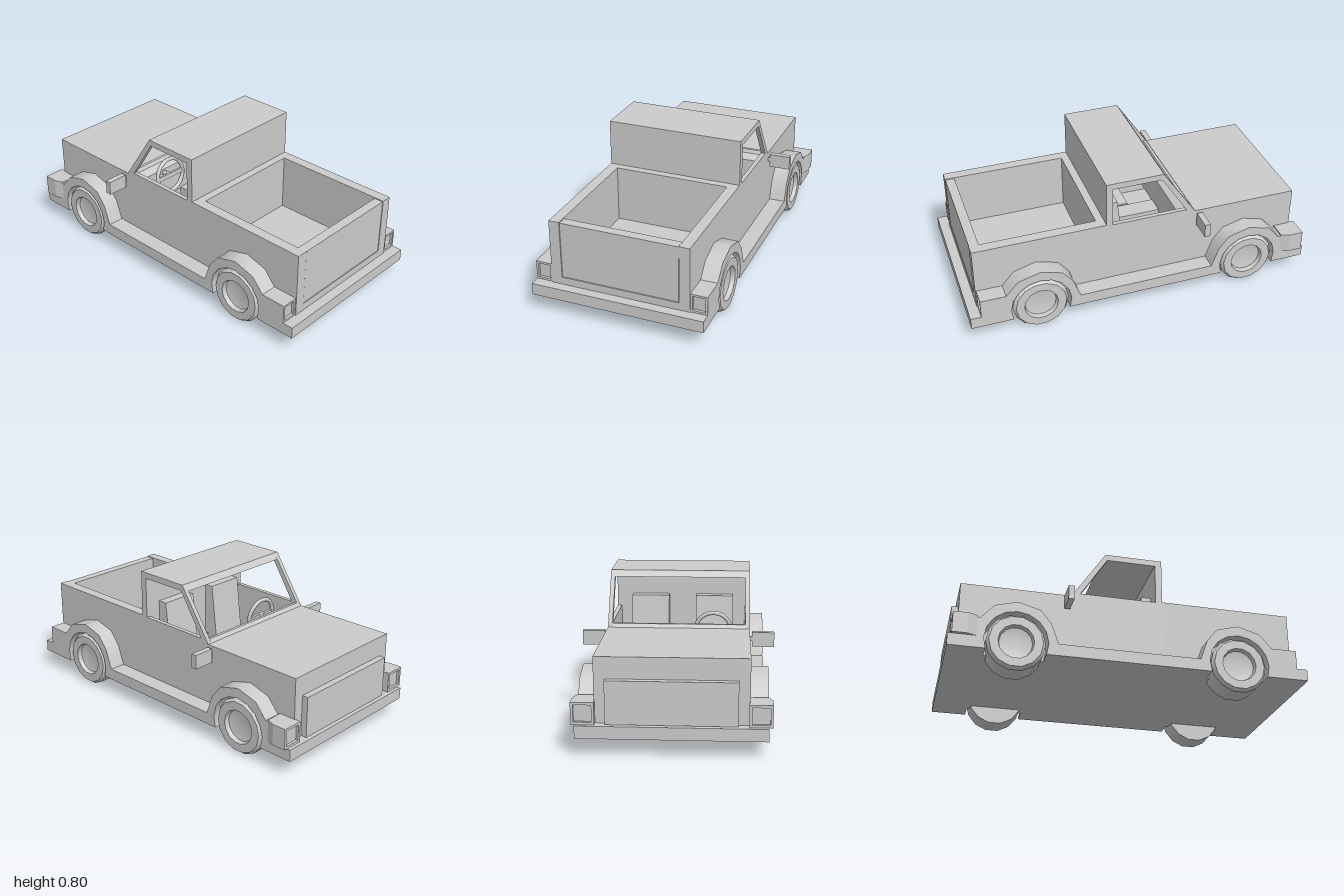
import * as THREE from 'three';
import { toCreasedNormals } from 'three/addons/utils/BufferGeometryUtils.js';

const grey = new THREE.MeshStandardMaterial({ color: 0xcccccc });
const outline = (pts, Type = THREE.Shape) => new Type(pts.map(([a, b]) => new THREE.Vector2(a, b)));

export function createModel() {
  const model = new THREE.Group();

  const add = (name, geometry, parent = model) => {
    const mesh = new THREE.Mesh(geometry, grey);
    mesh.name = name;
    parent.add(mesh);
    return mesh;
  };
  // Box given by its limits on each axis
  const box = (name, x0, x1, y0, y1, z0, z1, parent) =>
    add(name, new THREE.BoxGeometry(x1 - x0, y1 - y0, z1 - z0)
      .translate((x0 + x1) / 2, (y0 + y1) / 2, (z0 + z1) / 2), parent);
  // Side outline in (z, y), extruded from x0 to x1
  const sideExtrude = (name, pts, x0, x1, hole) => {
    const shape = outline(pts);
    if (hole) shape.holes.push(outline(hole, THREE.Path));
    const geo = new THREE.ExtrudeGeometry(shape, { depth: x1 - x0, bevelEnabled: false });
    geo.rotateY(-Math.PI / 2).translate(x1, 0, 0);
    return add(name, toCreasedNormals(geo, 0.75));
  };
  // Rectangular frame facing z
  const frame = (name, x0, x1, y0, y1, z0, z1, t) => {
    const rect = (d) => [[x0 + d, y0 + d], [x1 - d, y0 + d], [x1 - d, y1 - d], [x0 + d, y1 - d]];
    const shape = outline(rect(0));
    shape.holes.push(outline(rect(t), THREE.Path));
    add(name, new THREE.ExtrudeGeometry(shape, { depth: z1 - z0, bevelEnabled: false }).translate(0, 0, z0));
  };

  const W = 0.395;
  const axles = [0.6, -0.64];

  // Chassis, hood and grille
  box('chassis', -W, W, 0.1, 0.167, -1, 1);
  box('hood', -W, W, 0.167, 0.515, -0.945, -0.335);
  box('grille', -0.337, 0.337, 0.17, 0.4, -0.98, -0.945);

  // Cargo bed
  box('bedFloor', -0.335, 0.335, 0.167, 0.21, 0.19, 0.945);
  box('bedFrontWall', -0.335, 0.335, 0.21, 0.54, 0.19, 0.235);
  box('tailgate', -0.332, 0.332, 0.213, 0.537, 0.89, 0.943);

  // Cabin shell
  box('cabinBackWall', -0.37, 0.37, 0.167, 0.77, 0.152, 0.19);
  sideExtrude('roof', [[0.19, 0.77], [0.19, 0.805], [-0.14, 0.805], [-0.163, 0.77]], -0.37, 0.37);
  sideExtrude('windshieldSill', [[-0.295, 0.515], [-0.335, 0.515], [-0.322, 0.535], [-0.305, 0.535]], -0.37, 0.37);

  // Dashboard, console and seats
  sideExtrude('dashboard', [[-0.335, 0.3], [-0.335, 0.514], [-0.29, 0.514], [-0.25, 0.49], [-0.25, 0.3]], -0.37, 0.37);
  box('centerConsole', -0.055, 0.055, 0.167, 0.31, -0.25, 0.06);
  for (const x of [-0.19, 0.19]) {
    box('seatCushion', x - 0.11, x + 0.11, 0.167, 0.3, -0.1, 0.13);
    sideExtrude('seatBack', [[0.15, 0.3], [0.15, 0.61], [0.095, 0.61], [0.06, 0.3]], x - 0.11, x + 0.11);
  }

  // Steering wheel
  const steering = new THREE.Group();
  steering.name = 'steeringWheel';
  steering.position.set(-0.19, 0.475, -0.195);
  steering.rotation.x = -0.12;
  add('steeringRim', new THREE.TorusGeometry(0.1, 0.012, 8, 24), steering);
  box('steeringSpoke', -0.095, 0.095, -0.012, 0.012, -0.008, 0.008, steering);
  add('steeringColumn', new THREE.CylinderGeometry(0.014, 0.014, 0.08, 8)
    .rotateX(Math.PI / 2).translate(0, 0, -0.04), steering);
  model.add(steering);

  // Fender strip outline: arches above and wheel openings below
  const arch = [[0.195, 0.275], [0.125, 0.355], [0, 0.39], [-0.125, 0.355], [-0.185, 0.28], [-0.225, 0.167]];
  const fender = [[1, 0.1], [1, 0.167], [0.925, 0.167], [0.925, 0.275]];
  arch.forEach(([z, y]) => fender.push([axles[0] + z, y]));
  [...arch].reverse().forEach(([z, y]) => fender.push([axles[1] - z, y]));
  fender.push([-0.86, 0.275], [-0.88, 0.167], [-1, 0.167], [-1, 0.1]);
  const start = Math.asin(-0.06 / 0.172);
  for (const axle of [axles[1], axles[0]]) {
    for (let i = 0; i <= 10; i++) {
      const a = Math.PI - start - (i / 10) * (Math.PI - 2 * start);
      fender.push([axle + 0.172 * Math.cos(a), 0.16 + 0.172 * Math.sin(a)]);
    }
  }

  const cabinSide = [[0.19, 0.167], [0.19, 0.805], [-0.14, 0.805], [-0.335, 0.515], [-0.335, 0.167]];
  const sideWindow = [[0.152, 0.535], [0.152, 0.77], [-0.13, 0.77], [-0.282, 0.535]];

  // Tyre and recessed hub, outer face towards +y of the lathe
  const wheelProfile = [[0, -0.075], [0.158, -0.075], [0.16, 0.055], [0.145, 0.075], [0.097, 0.075],
    [0.09, 0.05], [0.07, 0.045], [0, 0.045]].map(([r, y]) => new THREE.Vector2(r, y));
  const wheelGeo = toCreasedNormals(new THREE.LatheGeometry(wheelProfile, 14), 0.6);

  // Parts on both sides
  for (const s of [1, -1]) {
    const span = (a, b) => (s > 0 ? [a, b] : [-b, -a]);
    sideExtrude('fender', fender, ...span(W, 0.49));
    sideExtrude('cabinSide', cabinSide, ...span(0.37, W), sideWindow);
    box('bedSide', ...span(0.335, W), 0.167, 0.54, 0.19, 0.945);

    // Headlight with tapered housing and raised rim
    const plan = outline([[0.39, 0.85], [0.49, 0.85], [0.51, 0.9], [0.51, 0.965], [0.39, 0.965]].map(([x, z]) => [s * x, z]));
    add('headlight', new THREE.ExtrudeGeometry(plan, { depth: 0.118, bevelEnabled: false })
      .rotateX(-Math.PI / 2).translate(0, 0.167, 0));
    frame('headlightRim', ...span(0.39, 0.51), 0.167, 0.285, -0.98, -0.965, 0.014);
    // Tail light rim
    frame('tailLightRim', ...span(W, 0.49), 0.167, 0.275, 0.925, 0.94, 0.012);

    // Mirror on a short arm
    box('mirrorArm', ...span(W, 0.41), 0.455, 0.48, -0.368, -0.35);
    box('mirror', ...span(0.408, 0.53), 0.425, 0.505, -0.375, -0.342);

    for (const z of axles) {
      const wheel = add('wheel', wheelGeo);
      wheel.rotation.z = -s * Math.PI / 2;
      wheel.position.set(s * 0.411, 0.16, z);
    }
  }
  return model;
}
